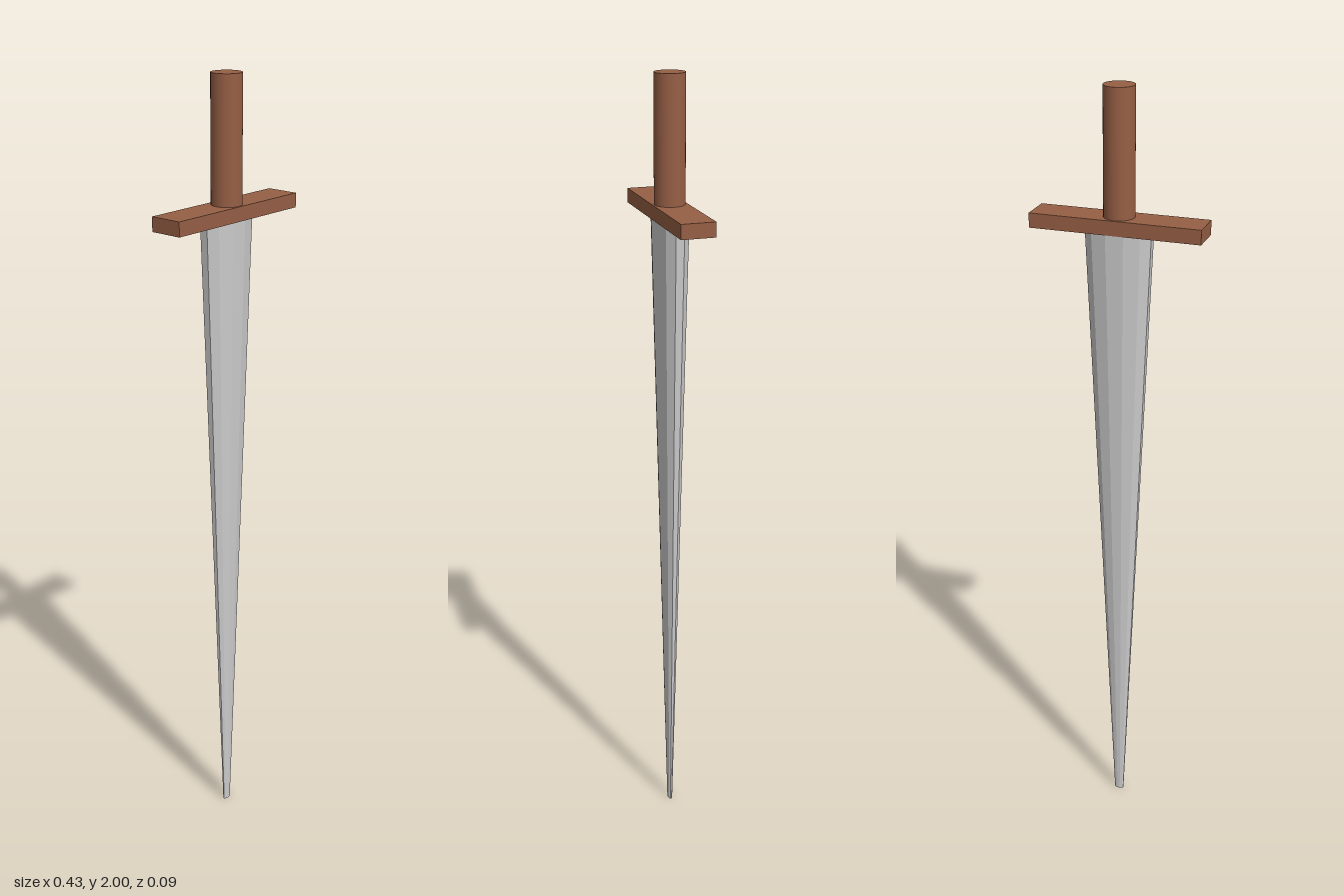
import * as THREE from 'three';

export function createModel() {
  const group = new THREE.Group();
  const steel = new THREE.MeshStandardMaterial({ color: 0xcccccc, flatShading: true });
  const wood = new THREE.MeshStandardMaterial({ color: 0x965f45 });

  const add = (name, geometry, material, y) => {
    const mesh = new THREE.Mesh(geometry, material);
    mesh.name = name;
    mesh.position.y = y;
    group.add(mesh);
  };

  const guardBottom = 1.657, guardTop = 1.693;

  // Blade: flattened twelve-sided taper, point down
  const blade = new THREE.CylinderGeometry(0.086, 0.0125, guardBottom, 12);
  blade.rotateY(Math.PI / 12);
  blade.scale(1, 1, 0.48);
  add('blade', blade, steel, guardBottom / 2);

  // Crossguard: plain bar
  add('crossguard', new THREE.BoxGeometry(0.426, guardTop - guardBottom, 0.085), wood, (guardBottom + guardTop) / 2);

  // Grip: round rod
  add('grip', new THREE.CylinderGeometry(0.038, 0.038, 2 - guardTop, 32), wood, (2 + guardTop) / 2);

  return group;
}
